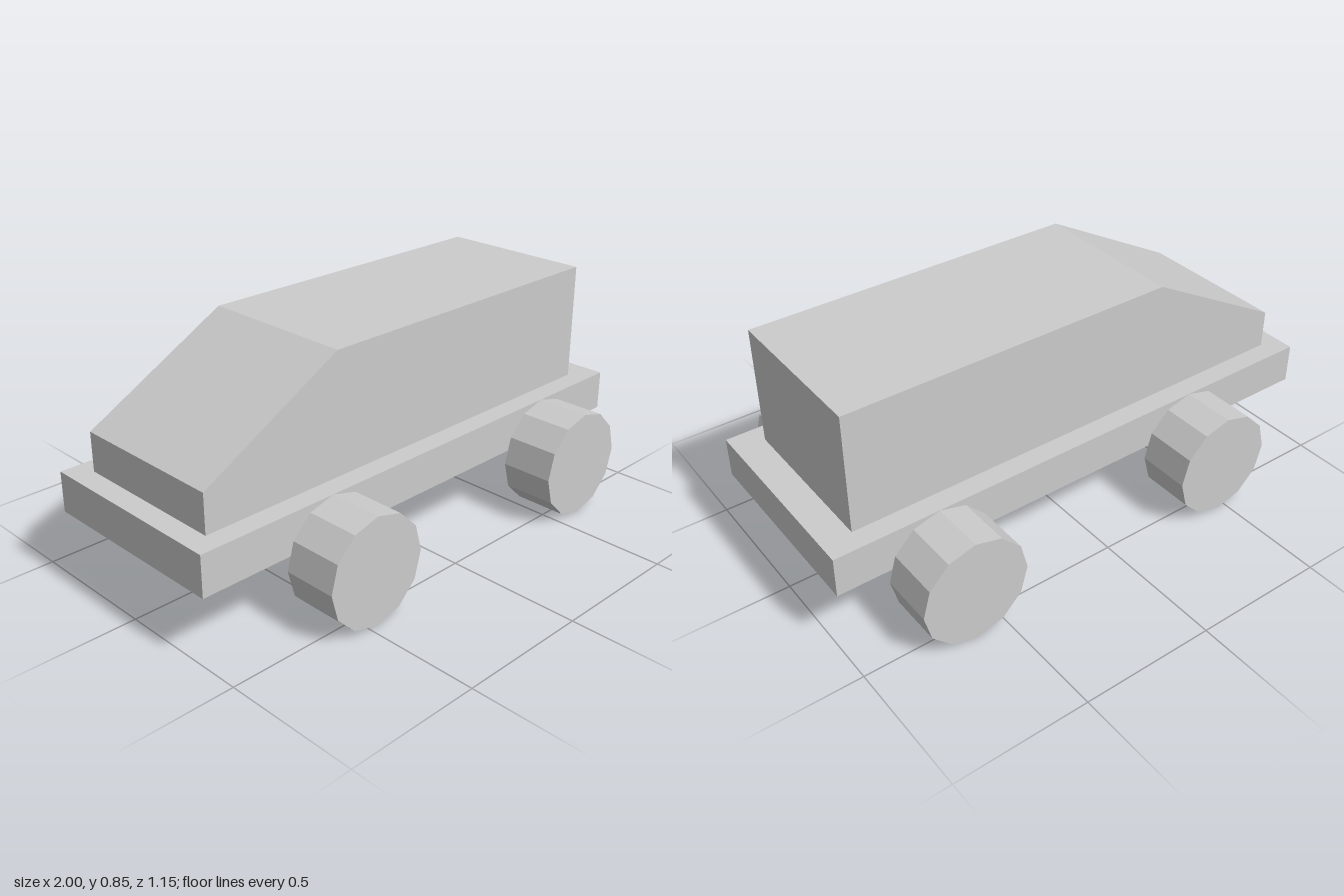
import * as THREE from 'three';

export function createModel() {
  const model = new THREE.Group();
  model.name = 'van';
  const material = new THREE.MeshStandardMaterial({ color: 0xcccccc, flatShading: true });

  const add = (name, geometry, x, y, z) => {
    const mesh = new THREE.Mesh(geometry, material);
    mesh.name = name;
    mesh.position.set(x, y, z);
    model.add(mesh);
  };

  // Flat chassis slab
  add('chassis', new THREE.BoxGeometry(2, 0.15, 0.75), 0, 0.325, 0);

  // Cabin: side profile with a sloping windscreen, extruded across the width
  const profile = new THREE.Shape([
    [-0.92, 0.4], [0.89, 0.4], [0.89, 0.843], [-0.37, 0.845], [-0.92, 0.545],
  ].map(([x, y]) => new THREE.Vector2(x, y)));
  const width = 0.595;
  add('cabin', new THREE.ExtrudeGeometry(profile, { depth: width, bevelEnabled: false }), 0, 0, -width / 2);

  // Four twelve-sided wheels set against the chassis sides
  const wheel = new THREE.CylinderGeometry(0.2, 0.2, 0.2, 12).rotateX(Math.PI / 2);
  for (const [axle, x] of [['front', -0.468], ['rear', 0.614]]) {
    for (const [side, z] of [['Near', 0.476], ['Far', -0.476]]) {
      add(axle + side + 'Wheel', wheel, x, 0.2, z);
    }
  }

  return model;
}
